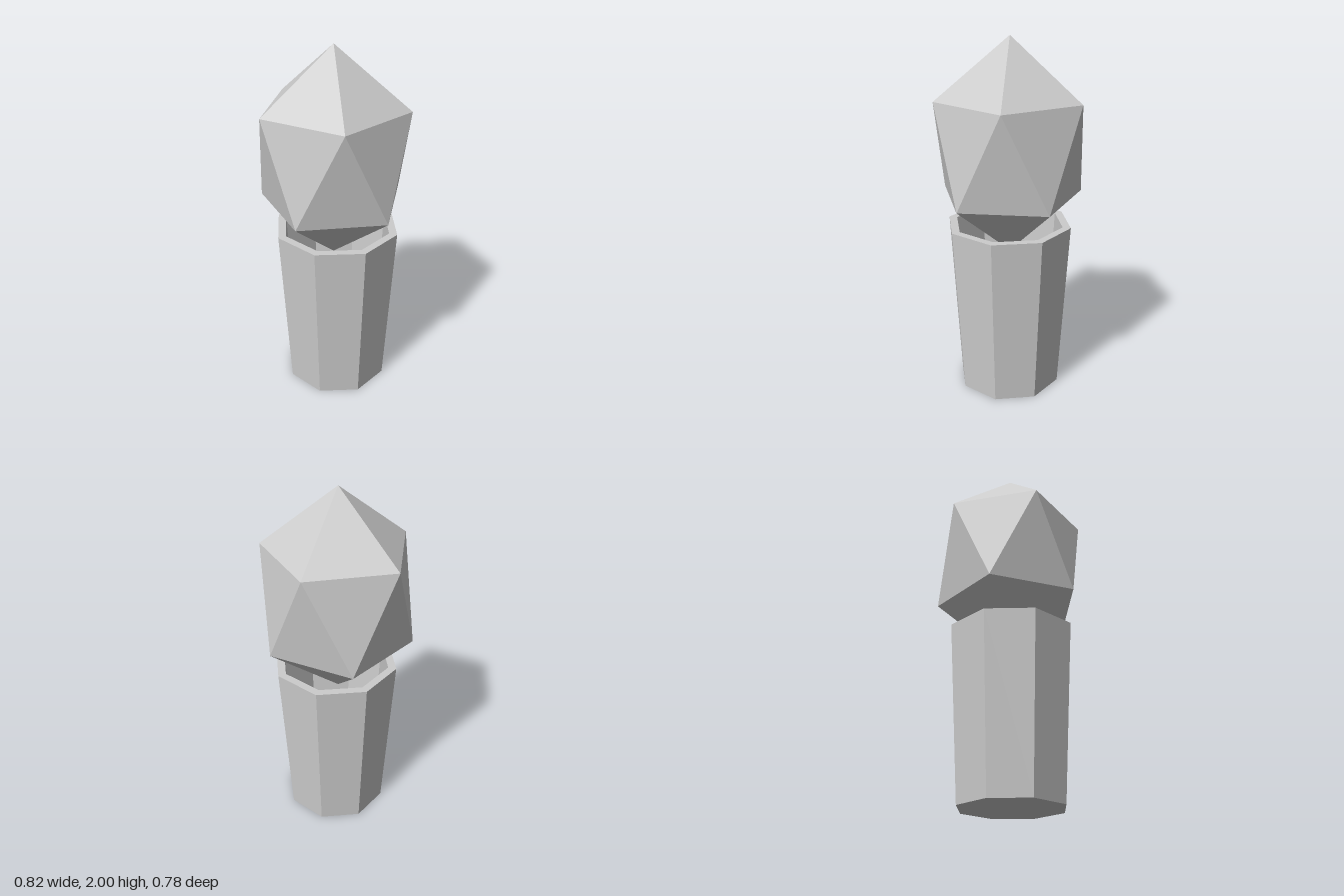
import * as THREE from 'three';

export function createModel() {
  const model = new THREE.Group();
  const material = new THREE.MeshStandardMaterial({ color: 0xcccccc, flatShading: true });

  const addPart = (name, geometry, x, y, z) => {
    const mesh = new THREE.Mesh(geometry, material);
    mesh.name = name;
    mesh.position.set(x, y, z);
    model.add(mesh);
  };

  // Hollow eight-sided pot: base, tapered outer wall, flat rim, inner wall, floor
  const profile = [
    [0, 0], [0.295, 0], [0.353, 0.975], [0.307, 0.975], [0.257, 0.1], [0, 0.1],
  ].map(([r, y]) => new THREE.Vector2(r, y));
  addPart('pot', new THREE.LatheGeometry(profile, 8), 0.01, 0, 0.012);

  // Stretched twenty-sided crown, turned to stand on one corner inside the pot
  const crown = new THREE.IcosahedronGeometry(1, 0);
  crown.rotateZ(Math.atan(2 / (1 + Math.sqrt(5))));
  crown.scale(0.459, 0.6, 0.459);
  addPart('crown', crown, -0.002, 1.4, -0.001);

  return model;
}
